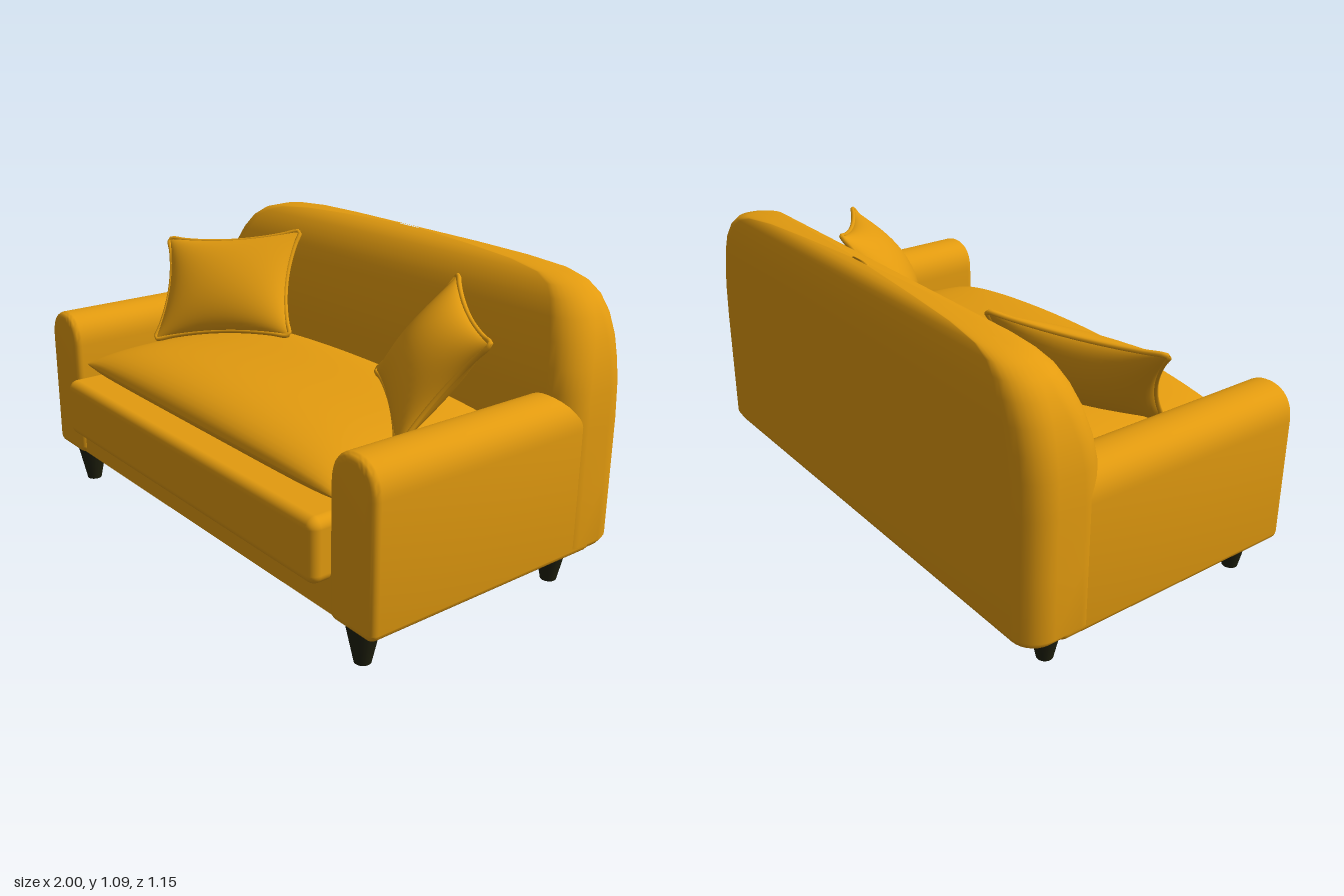
import * as THREE from 'three';
import { mergeGeometries, toCreasedNormals } from 'three/addons/utils/BufferGeometryUtils.js';
import { RoundedBoxGeometry } from 'three/addons/geometries/RoundedBoxGeometry.js';

const fabric = new THREE.MeshStandardMaterial({ color: 0xe39b0f });
fabric.name = 'mustardFabric';
const wood = new THREE.MeshStandardMaterial({ color: 0x1f200e });
wood.name = 'darkWood';

function add(parent, name, geometry, material) {
  const mesh = new THREE.Mesh(geometry, material);
  mesh.name = name;
  parent.add(mesh);
  return mesh;
}

function indexed(positions, index) {
  const g = new THREE.BufferGeometry();
  g.setAttribute('position', new THREE.Float32BufferAttribute(positions, 3));
  g.setIndex(index);
  g.computeVertexNormals();
  return g;
}

// Two grids, top and underside, meeting in a sharp seam; fn(u, v, side) gives [x, y, z]
function cushion(fn, n = 28) {
  const halves = [1, -1].map((side) => {
    const pos = [], idx = [];
    const ease = (k) => Math.sin((k / n - 0.5) * Math.PI);
    for (let j = 0; j <= n; j++) {
      for (let i = 0; i <= n; i++) pos.push(...fn(side * ease(i), ease(j), side));
    }
    for (let j = 0; j < n; j++) {
      for (let i = 0; i < n; i++) {
        const a = j * (n + 1) + i, d = a + n + 1;
        idx.push(a, a + 1, d + 1, a, d + 1, d);
      }
    }
    return indexed(pos, idx);
  });
  return mergeGeometries(halves);
}

// Stack of rounded rectangles: [y, halfWidth, zBack, zFront, cornerRadius]
function loft(levels, seg = 7) {
  const pos = [], idx = [], ring = 4 * (seg + 1);
  for (const [y, w, zb, zf, radius] of levels) {
    const r = Math.min(radius, (zf - zb) / 2, w);
    const corners = [[w - r, zf - r], [r - w, zf - r], [r - w, zb + r], [w - r, zb + r]];
    corners.forEach(([cx, cz], q) => {
      for (let k = 0; k <= seg; k++) {
        const a = (q + k / seg) * Math.PI / 2;
        pos.push(cx + r * Math.cos(a), y, cz + r * Math.sin(a));
      }
    });
  }
  for (let j = 0; j < levels.length - 1; j++) {
    for (let i = 0; i < ring; i++) {
      const a = j * ring + i, b = j * ring + (i + 1) % ring;
      idx.push(a, a + ring, b, b, a + ring, b + ring);
    }
  }
  return indexed(pos, idx);
}

// Arched arm section with softened front edge
function armGeometry() {
  const s = new THREE.Shape();
  const w = 0.078, bottom = 0.17, top = 0.69;
  s.moveTo(-w + 0.01, bottom);
  s.lineTo(w - 0.01, bottom);
  s.quadraticCurveTo(w, bottom, w, bottom + 0.01);
  s.lineTo(w, 0.6);
  s.bezierCurveTo(w, 0.665, 0.045, top, 0, top);
  s.bezierCurveTo(-0.045, top, -w, 0.665, -w, 0.6);
  s.lineTo(-w, bottom + 0.01);
  s.quadraticCurveTo(-w, bottom, -w + 0.01, bottom);
  const g = new THREE.ExtrudeGeometry(s, {
    depth: 0.92, bevelSize: 0.026, bevelThickness: 0.026, bevelSegments: 5, curveSegments: 12,
  });
  g.translate(0, 0, 0.494 - 0.92);
  return toCreasedNormals(g, 0.7);
}

// Square scatter cushion with drawn-in sides and pointed corners
function scatterPoint(u, v, side) {
  const x = 0.29 * u * (1 - 0.13 * (1 - v * v));
  const y = 0.225 * v * (1 - 0.13 * (1 - u * u));
  const puff = Math.max(0, (1 - u * u) * (1 - v * v));
  return [x, y, side * 0.09 * Math.pow(puff, 0.6)];
}

function scatterCushion(name) {
  const group = new THREE.Group();
  group.name = name;
  add(group, 'cushionBody', cushion(scatterPoint), fabric);
  const edge = [];
  const sides = [(t) => [t, -1], (t) => [1, t], (t) => [-t, 1], (t) => [-1, -t]];
  for (const f of sides) {
    for (let k = 0; k < 10; k++) {
      const [u, v] = f(-0.96 + 1.92 * k / 9);
      edge.push(new THREE.Vector3(...scatterPoint(u, v, 0)));
    }
  }
  const path = new THREE.CatmullRomCurve3(edge, true);
  add(group, 'piping', new THREE.TubeGeometry(path, 120, 0.009, 8, true), fabric);
  return group;
}

export function createModel() {
  const sofa = new THREE.Group();
  sofa.name = 'sofa';

  // Backrest, bulging forward and rounded over the top
  add(sofa, 'backrest', loft([
    [0.145, 0.02, -0.45, -0.43, 0.01],
    [0.145, 0.95, -0.54, -0.33, 0.06],
    [0.153, 0.98, -0.565, -0.3, 0.08],
    [0.18, 1, -0.58, -0.28, 0.1],
    [0.4, 1, -0.58, -0.28, 0.1],
    [0.6, 1, -0.58, -0.28, 0.1],
    [0.72, 0.995, -0.58, -0.284, 0.1],
    [0.8, 0.985, -0.58, -0.297, 0.1],
    [0.88, 0.967, -0.58, -0.32, 0.1],
    [0.95, 0.938, -0.58, -0.346, 0.1],
    [1.0, 0.9, -0.573, -0.372, 0.09],
    [1.035, 0.848, -0.565, -0.4, 0.08],
    [1.058, 0.76, -0.555, -0.424, 0.06],
    [1.072, 0.6, -0.54, -0.45, 0.05],
    [1.08, 0.36, -0.525, -0.472, 0.03],
    [1.085, 0.05, -0.505, -0.495, 0.01],
  ]), fabric);

  // Base between the arms
  const base = add(sofa, 'base', new THREE.BoxGeometry(1.64, 0.2, 0.95), fabric);
  base.position.set(0, 0.25, 0.028);

  // Lower cushion, standing proud of the front
  const lower = add(sofa, 'lowerCushion', new RoundedBoxGeometry(1.57, 0.222, 0.88, 5, 0.035), fabric);
  lower.position.set(0, 0.368, 0.135);

  // Domed seat cushion
  add(sofa, 'seatCushion', cushion((u, v, side) => {
    const bow = 1 - u * u;
    const edge = Math.sqrt(Math.max(0, (1 - v ** 4) * (1 - u ** 8)));
    const height = side > 0 ? 0.065 + 0.035 * bow : -0.07;
    const front = 0.48 + 0.035 * bow;
    const z = THREE.MathUtils.lerp(front, -0.31, (v + 1) / 2);
    return [0.785 * u, 0.525 + 0.025 * bow + height * edge, z];
  }), fabric);

  const arm = armGeometry();
  const leg = new THREE.CylinderGeometry(0.06, 0.028, 0.15, 20);
  for (const s of [1, -1]) {
    const side = s > 0 ? 'left' : 'right';
    add(sofa, side + 'Arm', arm, fabric).position.x = s * 0.893;

    // Tapered legs
    for (const [end, z] of [['Front', 0.44], ['Back', -0.405]]) {
      add(sofa, side + end + 'Leg', leg, wood).position.set(s * 0.865, 0.075, z);
    }

    // Scatter cushion leaning in the corner
    const pillow = scatterCushion(side + 'ScatterCushion');
    const across = new THREE.Vector3(0.818, -0.119 * s, 0.562 * s).normalize();
    const up = new THREE.Vector3(0.38 * s, 0.8, -0.467);
    const out = across.clone().cross(up).normalize();
    up.crossVectors(out, across);
    pillow.quaternion.setFromRotationMatrix(new THREE.Matrix4().makeBasis(across, up, out));
    pillow.position.set(s * 0.585, 0.8, -0.06);
    sofa.add(pillow);
  }
  return sofa;
}
